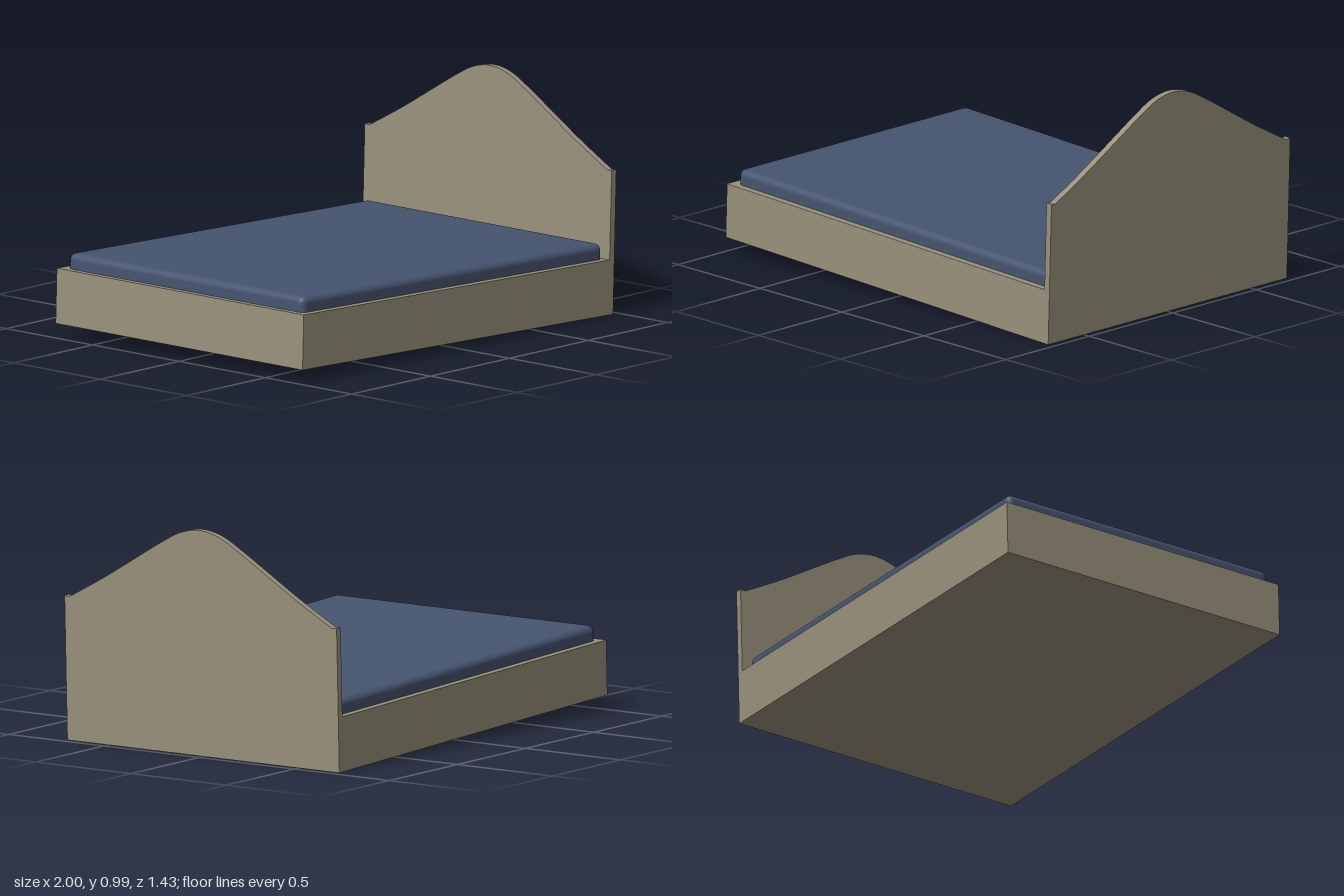
import * as THREE from 'three';
import { RoundedBoxGeometry } from 'three/addons/geometries/RoundedBoxGeometry.js';

const WIDTH = 1.43, LENGTH = 1.968, BOARD = 0.03, BASE_H = 0.24;

// Bell-shaped headboard outline, with small flat shoulders
function headboardGeometry() {
  const half = [[0.69, 0.628], [0.6, 0.677], [0.5, 0.733], [0.4, 0.793], [0.3, 0.854], [0.2, 0.914], [0.1, 0.966]];
  const crest = [
    ...half.map(([z, y]) => new THREE.Vector2(z, y)),
    new THREE.Vector2(0, 0.985),
    ...half.slice().reverse().map(([z, y]) => new THREE.Vector2(-z, y)),
  ];
  const w = WIDTH / 2;
  const shape = new THREE.Shape();
  shape.moveTo(-w, 0);
  shape.lineTo(w, 0);
  shape.lineTo(w, 0.63);
  shape.lineTo(0.69, 0.628);
  shape.splineThru(crest.slice(1));
  shape.lineTo(-w, 0.63);
  shape.closePath();
  const geometry = new THREE.ExtrudeGeometry(shape, { depth: BOARD, bevelEnabled: false, curveSegments: 56 });
  return geometry.rotateY(-Math.PI / 2); // thickness now runs from x = -BOARD to 0
}

export function createModel() {
  const model = new THREE.Group();
  model.name = 'bed';

  const frameMaterial = new THREE.MeshStandardMaterial({ color: 0x99917c });
  const mattressMaterial = new THREE.MeshStandardMaterial({ color: 0x465470 });

  // The whole bed leans slightly towards the headboard, pivoting on its bottom edge
  const body = new THREE.Group();
  body.name = 'tiltedBed';
  body.position.x = 0.968;
  body.rotation.z = -0.0323;
  model.add(body);

  const add = (name, geometry, material, x, y) => {
    const mesh = new THREE.Mesh(geometry, material);
    mesh.name = name;
    mesh.position.set(x, y, 0);
    body.add(mesh);
  };

  // Solid plinth
  const baseLength = LENGTH - BOARD;
  add('base', new THREE.BoxGeometry(baseLength, BASE_H, WIDTH), frameMaterial, -BOARD - baseLength / 2, BASE_H / 2);

  // Soft-edged mattress, sunk a little into the base
  const top = 0.308, bottom = 0.2;
  add('mattress', new RoundedBoxGeometry(1.9, top - bottom, 1.365, 5, 0.03), mattressMaterial, -0.988, (top + bottom) / 2);

  add('headboard', headboardGeometry(), frameMaterial, 0, 0);
  return model;
}
